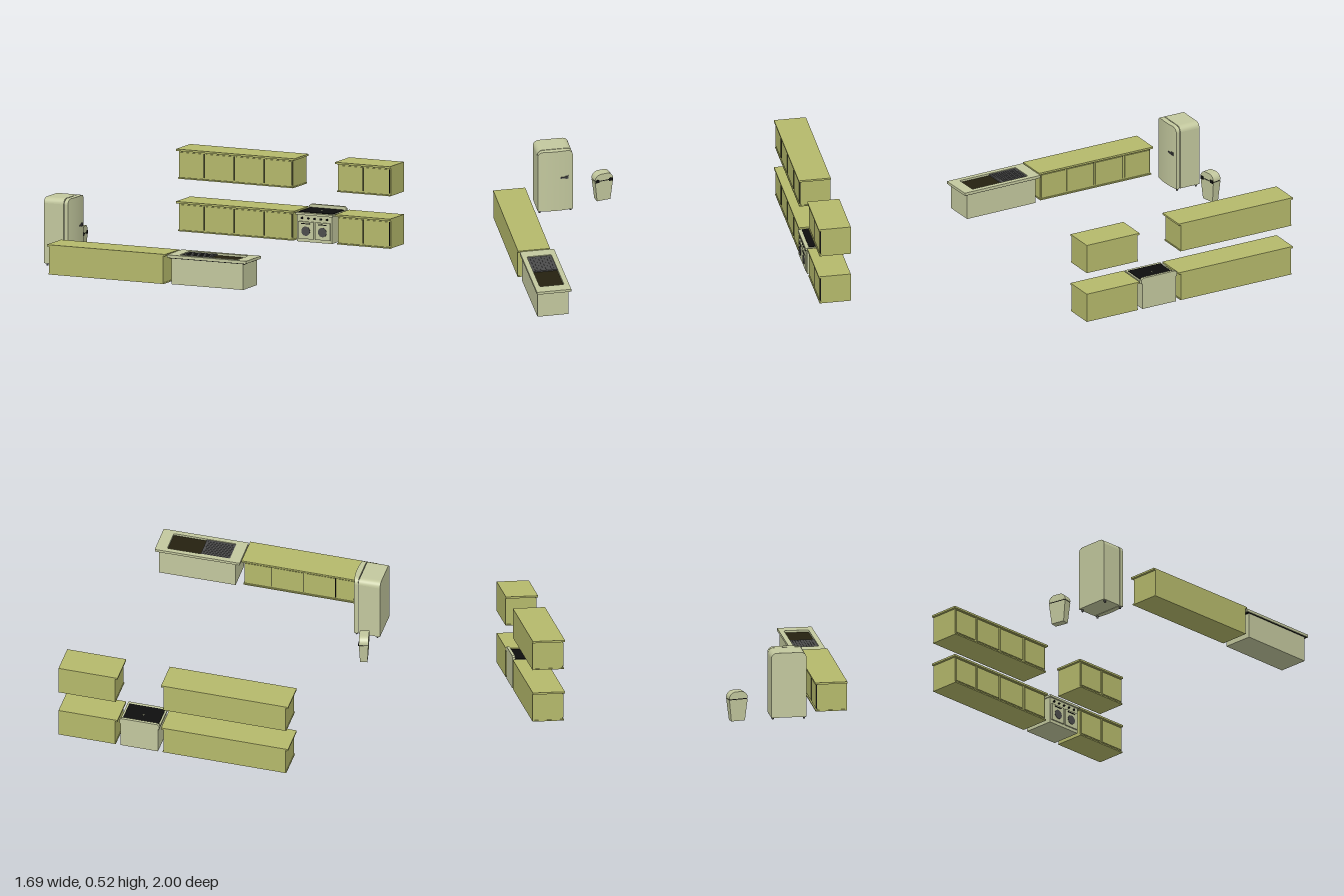
import * as THREE from 'three';

const mat = (name, color, side = THREE.FrontSide) => {
  const m = new THREE.MeshStandardMaterial({ color, side });
  m.name = name;
  return m;
};

export function createModel() {
  const olive = mat('olive', 0xb5b96b);
  const cream = mat('sage cream', 0xc3c89e);
  const black = mat('black', 0x0e0e0e);
  const steel = mat('dark grey', 0x4c4c4c);
  const basinDark = mat('dark brown', 0x252110);

  const root = new THREE.Group();
  root.name = 'kitchen';
  const group = (name, parent = root) => {
    const g = new THREE.Group();
    g.name = name;
    parent.add(g);
    return g;
  };
  const add = (parent, name, geo, material) => {
    const m = new THREE.Mesh(geo, material);
    m.name = name;
    parent.add(m);
    return m;
  };
  // Box given by its minimum and maximum corners
  const box = (parent, name, material, x0, x1, y0, y1, z0, z1) => {
    const m = add(parent, name, new THREE.BoxGeometry(x1 - x0, y1 - y0, z1 - z0), material);
    m.position.set((x0 + x1) / 2, (y0 + y1) / 2, (z0 + z1) / 2);
    return m;
  };

  // Cabinet row: carcass, worktop, lower lip and framed doors
  function cabinet(name, y, top, body, doors) {
    const g = group(name);
    g.position.y = y;
    box(g, 'carcass', olive, body[0], body[1], 0, 0.18, -1, -0.809);
    box(g, 'worktop', olive, top[0], top[1], 0.178, 0.19, -1, -0.795);
    box(g, 'lowerLip', olive, body[0] - 0.004, Math.min(body[1] + 0.004, 0.84), 0, 0.008, -1, -0.8);
    for (const [a, b] of doors) {
      box(g, 'door', olive, a, b, 0.018, 0.17, -0.812, -0.802);
      box(g, 'doorGap', black, b, b + 0.003, 0.018, 0.17, -0.812, -0.803);
    }
    return g;
  }
  const longDoors = [[-0.64, -0.47], [-0.452, -0.26], [-0.245, -0.05], [-0.03, 0.148]];
  const shortDoors = [[0.478, 0.645], [0.663, 0.832]];
  for (const [label, y] of [['lower', 0], ['upper', 0.335]]) {
    cabinet(label + 'LongCabinet', y, [-0.66, 0.17], [-0.645, 0.155], longDoors);
    cabinet(label + 'ShortCabinet', y, [0.455, 0.84], [0.47, 0.84], shortDoors);
  }
  const island = cabinet('islandCabinet', 0, [-0.66, 0.17], [-0.645, 0.155], longDoors);
  island.rotation.y = Math.PI;
  island.position.x = -0.515;

  // Stove
  const stove = group('stove');
  box(stove, 'stoveBody', cream, 0.19, 0.435, 0, 0.172, -1, -0.797);
  box(stove, 'stoveTop', cream, 0.183, 0.442, 0.172, 0.186, -1, -0.786);
  box(stove, 'cooktop', black, 0.195, 0.43, 0.184, 0.19, -0.978, -0.81);
  box(stove, 'grateGap', cream, 0.302, 0.318, 0.189, 0.191, -0.901, -0.899);
  box(stove, 'grateGap', cream, 0.309, 0.311, 0.189, 0.191, -0.909, -0.891);
  const splash = new THREE.Shape([[0.183, 0.186], [0.442, 0.186], [0.442, 0.2], [0.428, 0.21], [0.197, 0.21], [0.183, 0.2]]
    .map(p => new THREE.Vector2(...p)));
  add(stove, 'backsplash', new THREE.ExtrudeGeometry(splash, { depth: 0.018, bevelEnabled: false }), cream).position.z = -1;
  for (const x of [0.254, 0.371]) {
    box(stove, 'ovenDoor', cream, x - 0.053, x + 0.053, 0.02, 0.13, -0.798, -0.788);
    const w = add(stove, 'ovenWindow', new THREE.CylinderGeometry(0.03, 0.03, 0.003, 20), steel);
    w.rotation.x = Math.PI / 2;
    w.position.set(x, 0.07, -0.787);
    box(stove, 'ovenHandle', black, x - 0.03, x + 0.03, 0.115, 0.12, -0.789, -0.784);
  }
  for (let i = 0; i < 5; i++) {
    const k = add(stove, 'knob', new THREE.CylinderGeometry(0.007, 0.007, 0.008, 12), black);
    k.rotation.x = Math.PI / 2;
    k.position.set(0.225 + i * 0.0437, 0.152, -0.793);
  }

  // Sink unit, turned very slightly
  const sink = group('sinkUnit');
  sink.position.set(0.428, 0, 0.878);
  sink.rotation.y = 0.009;
  box(sink, 'sinkBody', cream, -0.248, 0.252, 0, 0.166, -0.098, 0.102);
  box(sink, 'shadowStrip', black, -0.262, 0.266, 0.165, 0.17, -0.104, 0.105);
  const rect = (x0, x1, z0, z1, r, Kind) => {
    const s = new Kind();
    s.moveTo(x0 + r, z0).lineTo(x1 - r, z0);
    s.quadraticCurveTo(x1, z0, x1, z0 + r).lineTo(x1, z1 - r);
    s.quadraticCurveTo(x1, z1, x1 - r, z1).lineTo(x0 + r, z1);
    s.quadraticCurveTo(x0, z1, x0, z1 - r).lineTo(x0, z0 + r);
    s.quadraticCurveTo(x0, z0, x0 + r, z0);
    return s;
  };
  const slab = rect(-0.277, 0.277, -0.11, 0.11, 0.003, THREE.Shape);
  slab.holes.push(rect(-0.205, 0.203, -0.078, 0.078, 0.01, THREE.Path));
  const slabGeo = new THREE.ExtrudeGeometry(slab, { depth: 0.017, bevelEnabled: false });
  slabGeo.rotateX(-Math.PI / 2);
  add(sink, 'sinkTop', slabGeo, cream).position.y = 0.17;
  box(sink, 'drainboard', steel, -0.207, -0.013, 0.17, 0.182, -0.08, 0.08);
  box(sink, 'basin', basinDark, -0.013, 0.205, 0.168, 0.174, -0.08, 0.08);
  for (let i = 0; i < 8; i++) {
    box(sink, 'drainRib', steel, -0.195, -0.025, 0.181, 0.184, -0.065 + i * 0.0175, -0.06 + i * 0.0175);
  }

  // Block with a rounded top along z and an optional bulge on its +x face
  function roundedBlock(depth, height, half, radius, bulge) {
    const g = new THREE.BoxGeometry(depth, height, half * 2, 1, 1, 24);
    const p = g.attributes.position;
    for (let i = 0; i < p.count; i++) {
      const t = Math.sin(p.getZ(i) / half * Math.PI / 2);
      const over = Math.max(0, Math.abs(t) * half - (half - radius));
      p.setZ(i, t * half);
      if (p.getY(i) > 0) p.setY(i, height / 2 - radius + Math.sqrt(Math.max(0, radius * radius - over * over)));
      if (p.getX(i) > 0) p.setX(i, depth / 2 + bulge * (1 - t * t));
    }
    g.computeVertexNormals();
    return g;
  }

  // Refrigerator, door facing +x
  const fridge = group('refrigerator');
  fridge.position.z = 0.603;
  add(fridge, 'fridgeBody', roundedBlock(0.139, 0.42, 0.112, 0.035, 0), cream).position.set(-0.7755, 0.225, 0);
  add(fridge, 'doorSeal', roundedBlock(0.006, 0.41, 0.107, 0.033, 0), steel).position.set(-0.703, 0.223, 0);
  add(fridge, 'fridgeDoor', roundedBlock(0.024, 0.42, 0.112, 0.035, 0.012), cream).position.set(-0.689, 0.225, 0);
  box(fridge, 'handlePlate', steel, -0.676, -0.668, 0.235, 0.258, -0.083, -0.062);
  box(fridge, 'handle', steel, -0.67, -0.662, 0.242, 0.251, -0.076, -0.03);
  for (const x of [-0.825, -0.69]) for (const z of [-0.1, 0.1]) {
    const f = add(fridge, 'foot', new THREE.CylinderGeometry(0.008, 0.006, 0.018, 10), steel);
    f.position.set(x, 0.009, z);
  }

  // Waste bin: tapered body, dark band and domed lid
  const bin = group('wasteBin');
  bin.position.set(-0.802, 0, 0.278);
  bin.rotation.y = 0.2;
  const bodyGeo = new THREE.BoxGeometry(0.06, 0.14, 0.122);
  const bp = bodyGeo.attributes.position;
  for (let i = 0; i < bp.count; i++) if (bp.getY(i) < 0) {
    bp.setX(i, bp.getX(i) * 0.78);
    bp.setZ(i, bp.getZ(i) * 0.74);
  }
  bodyGeo.computeVertexNormals();
  add(bin, 'binBody', bodyGeo, cream).position.y = 0.07;
  box(bin, 'binBand', black, -0.028, 0.028, 0.14, 0.147, -0.058, 0.058);
  add(bin, 'binLid', roundedBlock(0.06, 0.045, 0.061, 0.042, 0), cream).position.y = 0.1685;
  for (const z of [-0.045, 0.045]) {
    box(bin, 'lidClip', black, 0.028, 0.034, 0.134, 0.154, z - 0.012, z + 0.012);
  }
  return root;
}
